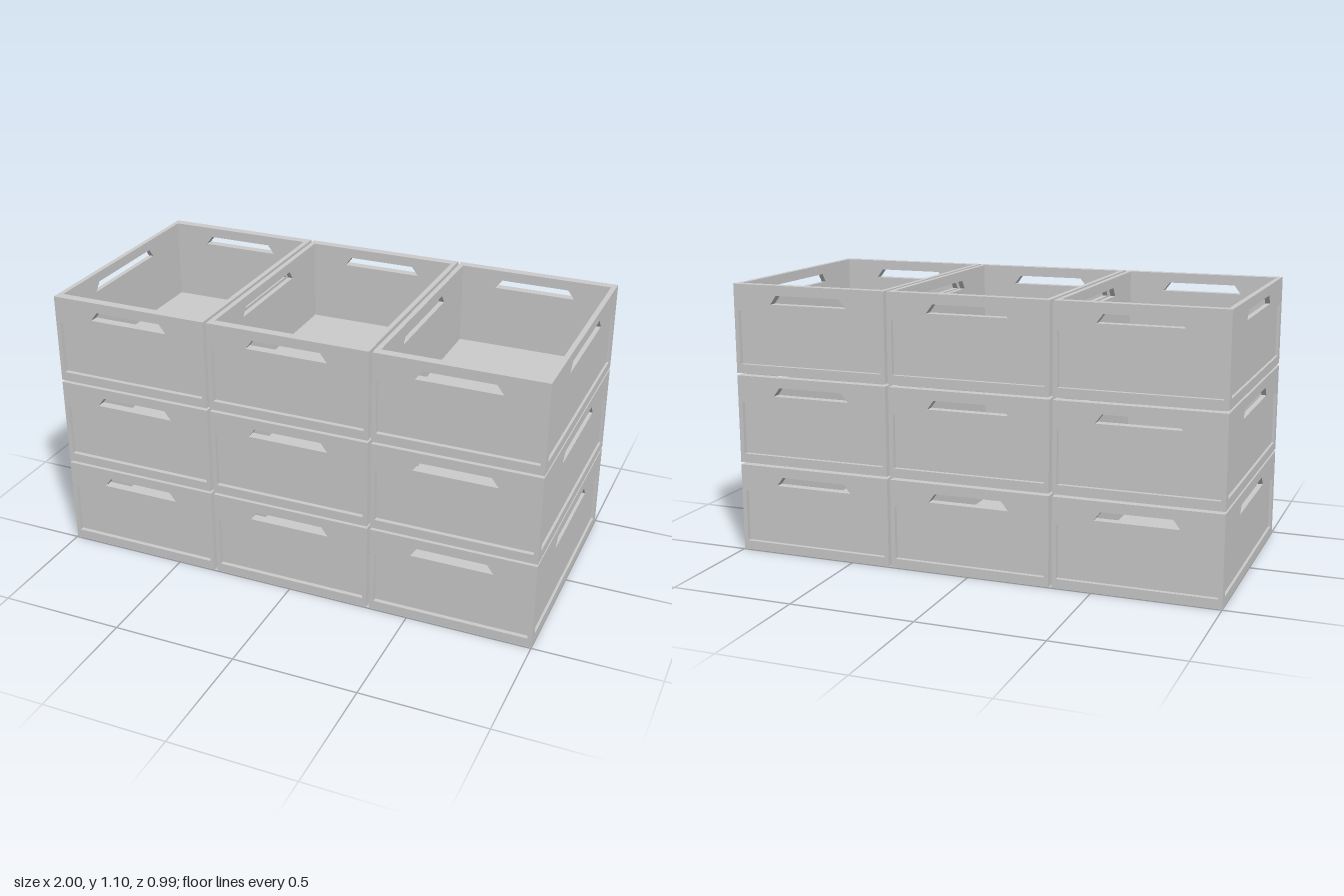
import * as THREE from 'three';
import { mergeGeometries } from 'three/addons/utils/BufferGeometryUtils.js';

const W = 0.329, D = 0.495, H = 0.36;   // crate half width, half depth, height
const TX = 0.02, TZ = 0.037;            // side and end wall thickness
const FLOOR = 0.03, PITCH_X = 0.671, PITCH_Y = 0.37;

const rect = (w, y0, y1) => [[-w, y0], [w, y0], [w, y1], [-w, y1]];
const vectors = (pts) => pts.map(([x, y]) => new THREE.Vector2(x, y));

// Flat face with holes, looking along +z
function face(outline, holes = []) {
  const shape = new THREE.Shape(vectors(outline));
  for (const h of holes) shape.holes.push(new THREE.Path(vectors(h)));
  const g = new THREE.ShapeGeometry(shape).toNonIndexed();
  g.deleteAttribute('uv');
  return g;
}

// Inward-facing sides of an opening, running back from z = 0 to -depth
function reveal(pts, depth) {
  const p = [];
  pts.forEach(([ax, ay], i) => {
    const [bx, by] = pts[(i + 1) % pts.length];
    p.push(ax, ay, 0, bx, by, 0, bx, by, -depth, ax, ay, 0, bx, by, -depth, ax, ay, -depth);
  });
  const g = new THREE.BufferGeometry();
  g.setAttribute('position', new THREE.Float32BufferAttribute(p, 3));
  g.computeVertexNormals();
  return g;
}

// One wall: outer face, recessed panel, trapezoid hand hole, inner face
function wall(half, innerHalf, panelHalf, gripHalf, thick, recess) {
  const panel = rect(panelHalf, 0.037, 0.251);
  const grip = [[-gripHalf, 0.284], [gripHalf, 0.284], [gripHalf - 0.027, 0.32], [-gripHalf + 0.027, 0.32]];
  return mergeGeometries([
    face(rect(half, 0, H), [panel, grip]),
    face(panel).translate(0, 0, -recess),
    reveal(panel, recess),
    reveal(grip, thick),
    face(rect(innerHalf, FLOOR, H), [grip]).rotateY(Math.PI).translate(0, 0, -thick),
  ]);
}

export function createModel() {
  const model = new THREE.Group();
  const material = new THREE.MeshStandardMaterial({ color: 0xcccccc });

  const endWall = wall(W, W - TX, 0.311, 0.165, TZ, 0.018).translate(0, 0, D);
  const sideWall = wall(D, D - TZ, 0.456, 0.228, TX, 0.01).translate(0, 0, W).rotateY(Math.PI / 2);
  const outer = rect(W, -D, D), inner = rect(W - TX, -(D - TZ), D - TZ);

  const parts = {
    frontWall: endWall,
    backWall: endWall.clone().rotateY(Math.PI),
    leftWall: sideWall,
    rightWall: sideWall.clone().rotateY(Math.PI),
    topRim: face(outer, [inner]).rotateX(-Math.PI / 2).translate(0, H, 0),
    floor: mergeGeometries([
      face(inner).rotateX(-Math.PI / 2).translate(0, FLOOR, 0),
      face(outer).rotateX(Math.PI / 2),
    ]),
  };

  // Three stacks of three crates
  for (let col = -1; col <= 1; col++) {
    for (let row = 0; row < 3; row++) {
      const crate = new THREE.Group();
      crate.name = `crate column ${col + 2} row ${row + 1}`;
      for (const [name, geometry] of Object.entries(parts)) {
        const mesh = new THREE.Mesh(geometry, material);
        mesh.name = name;
        crate.add(mesh);
      }
      crate.position.set(col * PITCH_X, row * PITCH_Y, 0);
      model.add(crate);
    }
  }
  return model;
}
